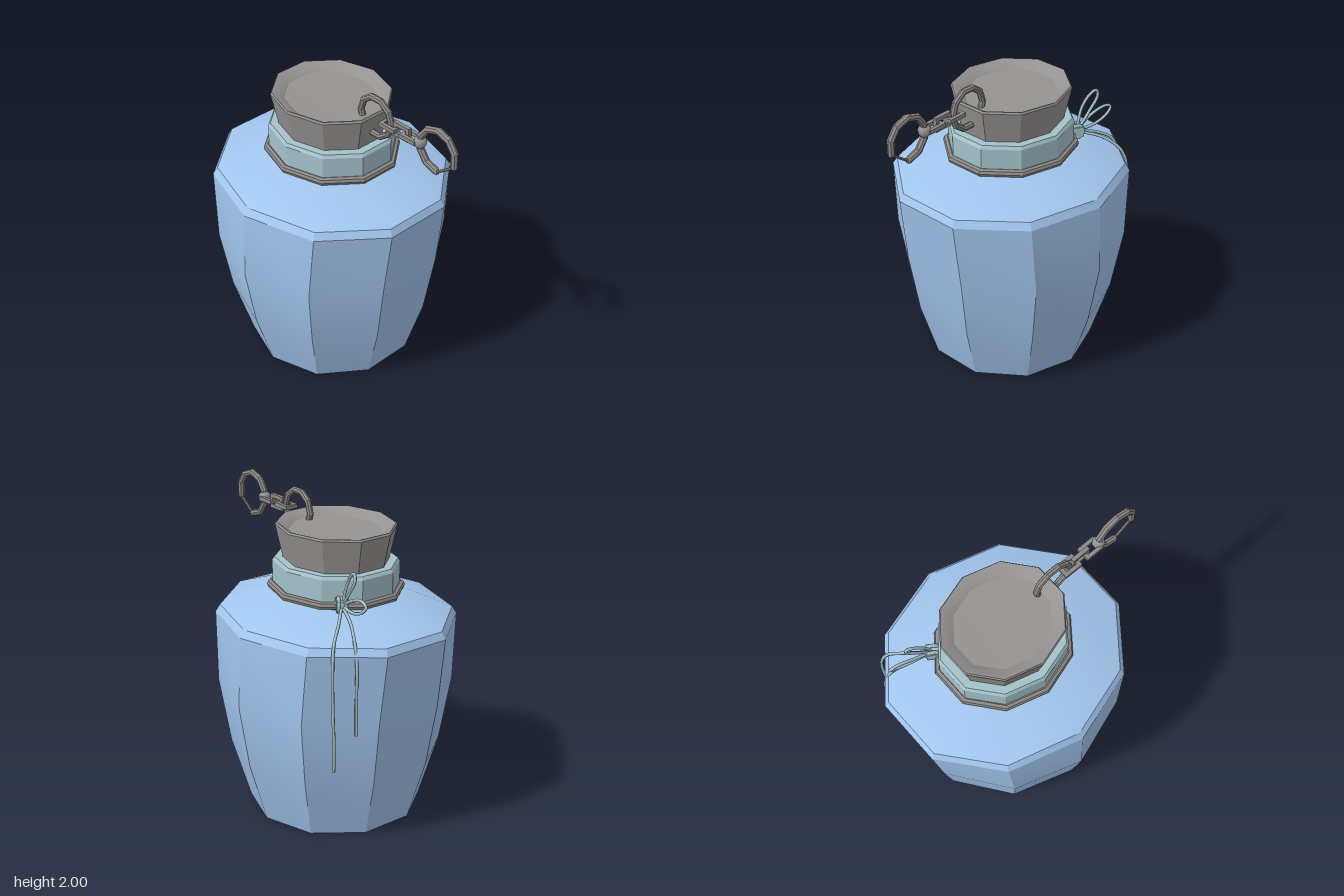
import * as THREE from 'three';
import { toCreasedNormals } from 'three/addons/utils/BufferGeometryUtils.js';

const SIDES = 10;
const AXIS_Z = -0.14; // the jar's axis sits behind the centre because the chain hangs out in front
const CHAIN_Y = 1.84;

const blue = new THREE.MeshStandardMaterial({ color: 0xa2c6ee });
const teal = new THREE.MeshStandardMaterial({ color: 0xa4c3cb });
const grey = new THREE.MeshStandardMaterial({ color: 0x969492 });
const greyFlat = new THREE.MeshStandardMaterial({ color: 0x8c8986, flatShading: true });

function add(parent, name, geometry, material) {
  const mesh = new THREE.Mesh(geometry, material);
  mesh.name = name;
  parent.add(mesh);
  return mesh;
}

// Ten-sided turned form; each row is [radius, y, stretch along z]
function facetedLathe(rows) {
  const points = rows.map(([r, y]) => new THREE.Vector2(r, y));
  const geometry = new THREE.LatheGeometry(points, SIDES, Math.PI / 2);
  const pos = geometry.attributes.position;
  for (let i = 0; i < pos.count; i++) {
    pos.setZ(i, pos.getZ(i) * rows[i % rows.length][2] + AXIS_Z);
  }
  return toCreasedNormals(geometry, 0.5);
}

// Smooth thin cord through a few points
function cord(points, radius, closed = false) {
  const curve = new THREE.CatmullRomCurve3(points.map(p => new THREE.Vector3(...p)), closed);
  return new THREE.TubeGeometry(curve, 32, radius, 6, closed);
}

// Flat rectangular chain link with a rectangular opening
function linkGeometry() {
  const rect = (path, w, h) => path.moveTo(-w, -h).lineTo(w, -h).lineTo(w, h).lineTo(-w, h).closePath();
  const shape = rect(new THREE.Shape(), 0.062, 0.046);
  shape.holes.push(rect(new THREE.Path(), 0.038, 0.022));
  const geometry = new THREE.ExtrudeGeometry(shape, { depth: 0.026, bevelEnabled: false });
  return geometry.translate(0, 0, -0.013).rotateY(-Math.PI / 2);
}

function createJar() {
  const jar = new THREE.Group();
  jar.name = 'jar';
  add(jar, 'body', facetedLathe([
    [0, 0, 1], [0.55, 0, 1], [0.67, 0.4, 1], [0.74, 0.82, 1],
    [0.72, 1.27, 1.11], [0.69, 1.315, 1.12], [0.39, 1.44, 1.09], [0, 1.44, 1.09],
  ]), blue);
  add(jar, 'neckBand', facetedLathe([
    [0.375, 1.43, 1.12], [0.375, 1.61, 1.12], [0.362, 1.63, 1.12], [0.29, 1.63, 1.12],
  ]), teal);
  const ring = new THREE.TorusGeometry(0.385, 0.025, 8, SIDES).rotateX(Math.PI / 2).scale(1, 1, 1.1);
  add(jar, 'neckRing', ring.translate(0, 1.455, AXIS_Z), greyFlat);
  // Flared stopper with a dished top
  add(jar, 'stopper', facetedLathe([
    [0.31, 1.62, 1.13], [0.357, 1.838, 1.11], [0.35, 1.85, 1.11], [0.34, 1.848, 1.11],
    [0.275, 1.805, 1.13], [0, 1.8, 1.13],
  ]), grey);
  return jar;
}

function createChain() {
  const chain = new THREE.Group();
  chain.name = 'chain';
  chain.position.y = CHAIN_Y;

  const anchor = new THREE.TorusGeometry(0.127, 0.021, 8, 10).rotateY(-Math.PI / 2);
  add(chain, 'anchorRing', anchor, greyFlat).position.set(0, 0, 0.245);

  // Links alternate between lying flat and standing upright
  [0.372, 0.46, 0.54].forEach((z, i) => {
    const link = add(chain, 'chainLink', linkGeometry(), greyFlat);
    link.position.z = z;
    if (i % 2 === 0) link.rotation.z = Math.PI / 2;
  });

  add(chain, 'swivel', new THREE.SphereGeometry(0.041, 10, 8), grey).position.z = 0.605;

  // Open clasp ring, closed by a thin straight gate
  const clasp = new THREE.Group();
  clasp.name = 'clasp';
  clasp.position.z = 0.74;
  const start = -Math.PI / 10;
  const hook = new THREE.TorusGeometry(0.137, 0.023, 8, 8, Math.PI * 1.6);
  add(clasp, 'claspHook', hook.rotateZ(start).rotateY(-Math.PI / 2), greyFlat);
  const from = new THREE.Vector3(0, 0.143 * Math.sin(start), 0.143 * Math.cos(start));
  const to = new THREE.Vector3(0, -0.143, 0);
  add(clasp, 'claspGate', new THREE.TubeGeometry(new THREE.LineCurve3(from, to), 1, 0.009, 6), greyFlat);
  // End caps of the hook
  [from, to].forEach(p => {
    add(clasp, 'hookEnd', new THREE.SphereGeometry(0.021, 8, 6), greyFlat).position.copy(p).multiplyScalar(0.96);
  });
  chain.add(clasp);
  return chain;
}

function createBow() {
  const bow = new THREE.Group();
  bow.name = 'bow';

  // Knot: a small block wrapped by two turns of cord
  const knot = new THREE.Group();
  knot.name = 'knot';
  knot.position.set(0.235, 1.475, -0.495);
  knot.rotation.y = Math.PI - 0.6;
  add(knot, 'knotCore', new THREE.BoxGeometry(0.075, 0.065, 0.08), teal);
  [-0.022, 0.022].forEach(x => {
    const turn = new THREE.TorusGeometry(0.042, 0.012, 6, 10).rotateY(Math.PI / 2);
    add(knot, 'knotTurn', turn, teal).position.x = x;
  });
  bow.add(knot);

  // Two loops, one standing up and one leaning back
  add(bow, 'upperLoop', cord([
    [0.24, 1.49, -0.51], [0.235, 1.61, -0.54], [0.25, 1.69, -0.6], [0.265, 1.71, -0.645],
    [0.27, 1.67, -0.655], [0.26, 1.59, -0.6],
  ], 0.01, true), teal);
  add(bow, 'lowerLoop', cord([
    [0.24, 1.48, -0.52], [0.25, 1.54, -0.62], [0.275, 1.57, -0.73], [0.285, 1.55, -0.775],
    [0.285, 1.51, -0.74], [0.265, 1.47, -0.62],
  ], 0.01, true), teal);

  // Loose ends hanging over the shoulder and down the side
  add(bow, 'longTail', cord([
    [0.26, 1.46, -0.52], [0.36, 1.415, -0.62], [0.45, 1.33, -0.69], [0.485, 1.18, -0.725],
    [0.48, 0.9, -0.725], [0.46, 0.7, -0.71], [0.43, 0.51, -0.67],
  ], 0.01), teal);
  add(bow, 'shortTail', cord([
    [0.25, 1.46, -0.53], [0.29, 1.42, -0.64], [0.34, 1.35, -0.74], [0.36, 1.22, -0.79],
    [0.365, 1.05, -0.795], [0.35, 0.77, -0.78],
  ], 0.01), teal);
  return bow;
}

export function createModel() {
  const model = new THREE.Group();
  model.name = 'stopperedJar';
  model.add(createJar(), createChain(), createBow());
  return model;
}
